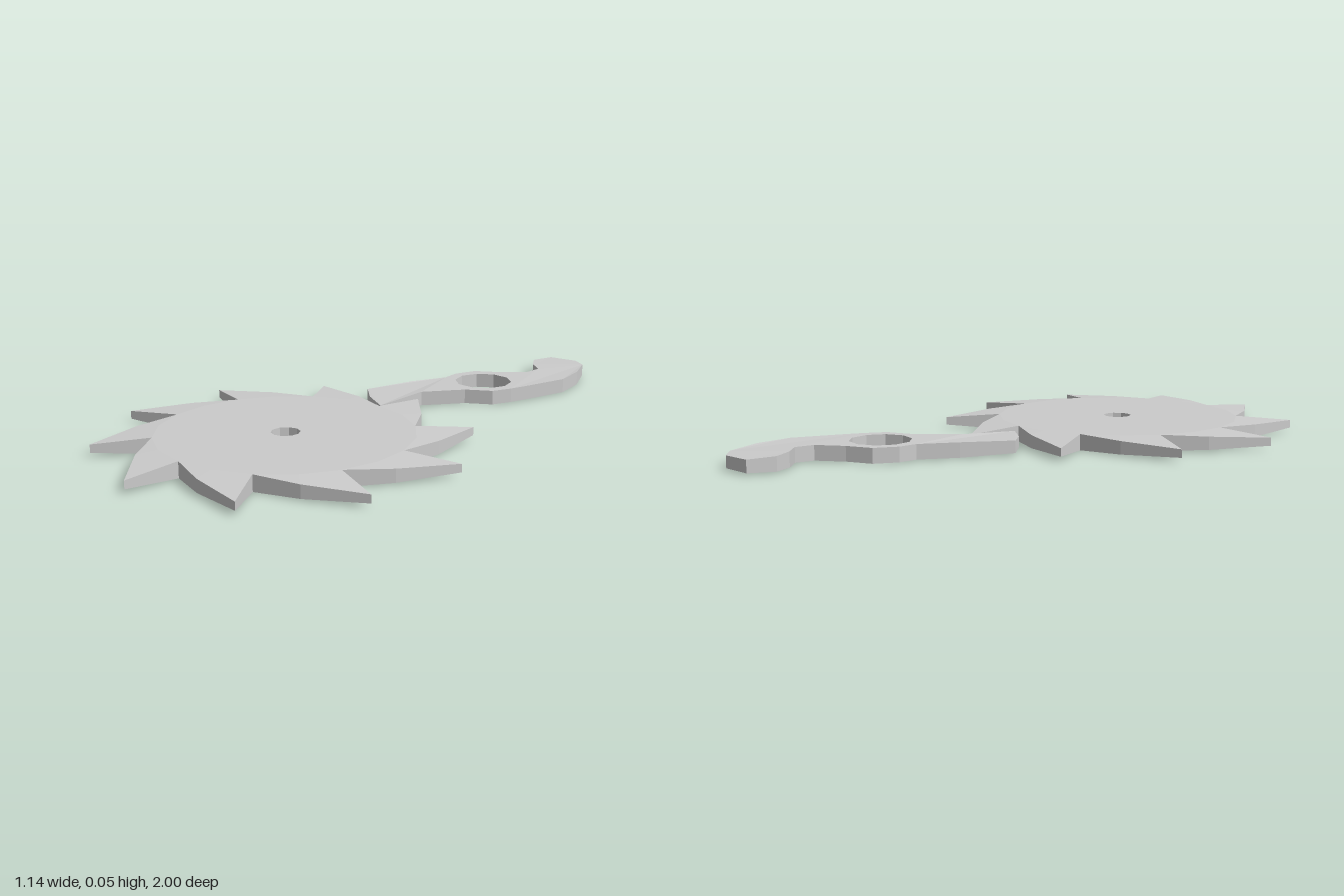
import * as THREE from 'three';

const MID = 0.0265;   // height of the middle plane
const HALF = 0.0265;  // half thickness of the thick areas
const material = () => new THREE.MeshStandardMaterial({ color: 0xcccccc, flatShading: true });

// Ratchet wheel: flat hub disc, ten swept teeth thinning towards the tips
function ratchetWheel() {
  const TEETH = 10, HOLE = 0.047, ROOT = 0.412, TIP = 0.6;
  const step = (Math.PI * 2) / TEETH;
  const pos = [];
  // point at radius r, angle a (clockwise from the back), side +1 top / -1 bottom
  const point = (r, a, side) => {
    const t = Math.max(0, (r - ROOT) / (TIP - ROOT));
    return [r * Math.sin(a), MID + side * HALF * (1 - 0.5 * t), 0.4 - r * Math.cos(a)];
  };
  const tri = (a, b, c) => pos.push(...a, ...b, ...c);
  // polygon fan on both faces, corners given clockwise from above
  const face = (corners) => {
    for (const side of [1, -1]) {
      const p = corners.map(([r, a]) => point(r, a, side));
      for (let i = 1; i < p.length - 1; i++) {
        if (side > 0) tri(p[0], p[i + 1], p[i]);
        else tri(p[0], p[i], p[i + 1]);
      }
    }
  };
  // vertical wall whose outside is on the left of the walk from p to q
  const wall = (p, q) => {
    const [pt, pb, qt, qb] = [point(...p, 1), point(...p, -1), point(...q, 1), point(...q, -1)];
    tri(pt, qt, qb);
    tri(pt, qb, pb);
  };
  for (let i = 0; i < TEETH; i++) {
    const a = i * step, m = a + step / 2, b = a + step;
    const h0 = [HOLE, a], h1 = [HOLE, b];
    const r0 = [ROOT, a], rm = [ROOT, m], r1 = [ROOT, b];
    const tip = [TIP, a], back = [0.483, m];
    face([rm, r1, h1, h0, r0]);       // hub sector
    face([r0, tip, back, rm]);        // tooth
    face([rm, back, r1]);
    wall(r0, tip);                    // steep side
    wall(tip, back);                  // swept side
    wall(back, r1);
    wall(h1, h0);                     // bore
  }
  const g = new THREE.BufferGeometry();
  g.setAttribute('position', new THREE.Float32BufferAttribute(pos, 3));
  g.computeVertexNormals();
  const mesh = new THREE.Mesh(g, material());
  mesh.name = 'ratchetWheel';
  return mesh;
}

// Pawl: curved lever with a pivot eye, thinner at both ends
function pawl() {
  const outline = [ // x, z
    [-0.03, -0.976], [0.07, -1], [0.127, -0.966], [0.185, -0.855], [0.214, -0.733],
    [0.18, -0.563], [0.165, -0.5], [0.14, -0.43], [0.06, -0.375], [-0.027, -0.246],
    [-0.027, -0.045], [-0.127, -0.093], [-0.196, -0.15], [-0.148, -0.325], [-0.1, -0.452],
    [-0.11, -0.516], [-0.085, -0.595], [-0.01, -0.648], [0.058, -0.722], [0.058, -0.786],
    [0, -0.828], [-0.042, -0.886],
  ];
  const shape = new THREE.Shape(outline.map(([x, z]) => new THREE.Vector2(x, -z)));
  const eye = [];
  for (let i = 0; i < 10; i++) {
    const a = (i / 10) * Math.PI * 2;
    eye.push(new THREE.Vector2(0.027 + 0.1 * Math.cos(a), 0.51 + 0.1 * Math.sin(a)));
  }
  shape.holes.push(new THREE.Path(eye));
  const g = new THREE.ExtrudeGeometry(shape, { depth: 1, bevelEnabled: false });
  g.rotateX(-Math.PI / 2);
  // thickness rule along the lever
  const p = g.attributes.position;
  for (let i = 0; i < p.count; i++) {
    const z = p.getZ(i);
    const nose = THREE.MathUtils.clamp((z + 0.25) / 0.2, 0, 1);
    const tail = THREE.MathUtils.clamp((-z - 0.85) / 0.15, 0, 1);
    const half = (HALF - 0.002) * (1 - 0.35 * nose - 0.2 * tail);
    p.setY(i, MID + (p.getY(i) > 0.5 ? half : -half));
  }
  g.computeVertexNormals();
  const mesh = new THREE.Mesh(g, material());
  mesh.name = 'pawl';
  return mesh;
}

export function createModel() {
  const group = new THREE.Group();
  group.name = 'ratchetAndPawl';
  group.add(ratchetWheel(), pawl());
  return group;
}
